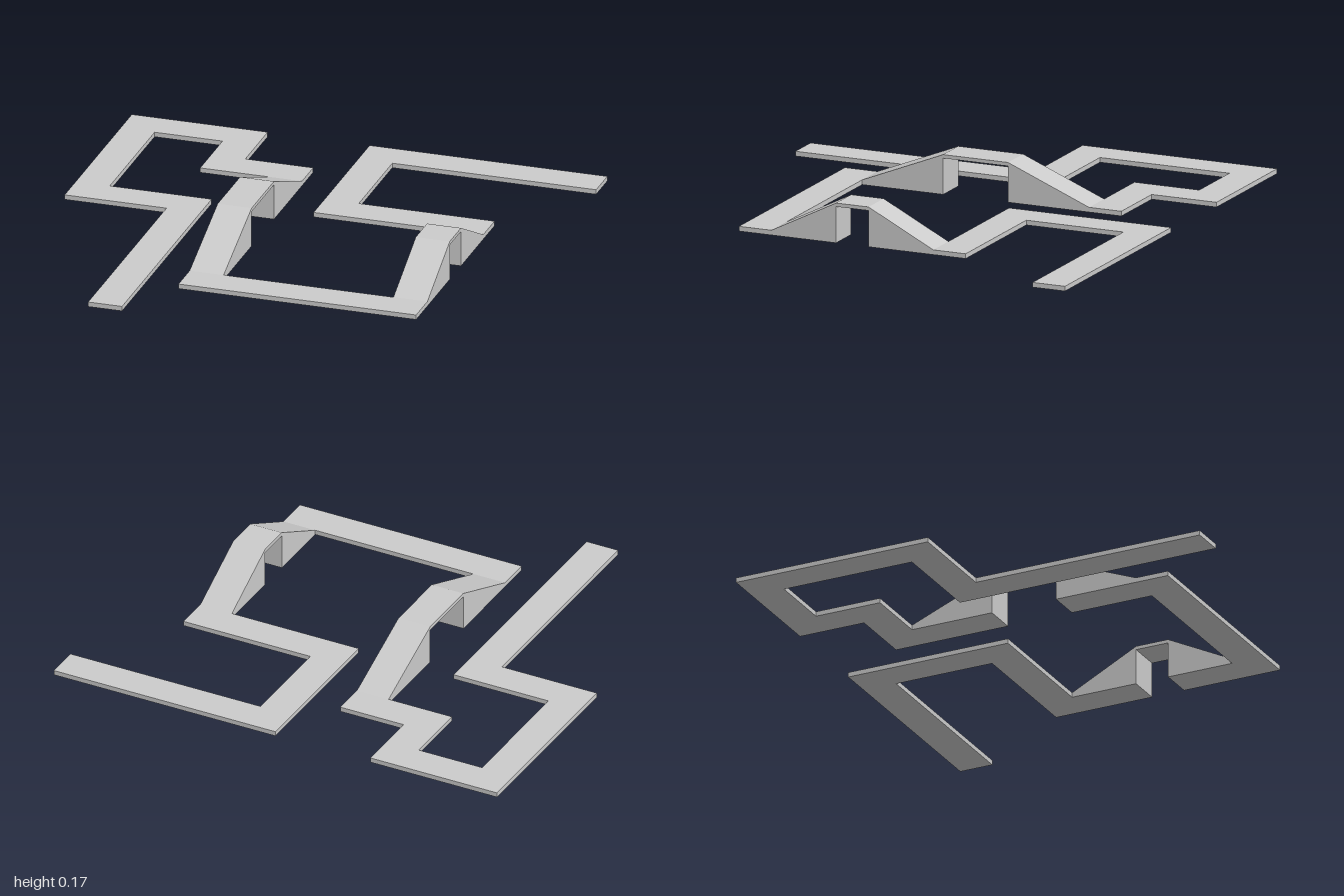
import * as THREE from 'three';

const U = 1 / 7;        // width of the track
const THICK = 0.02;     // track thickness
const TOP = 0.165;      // bridge height
const UNDER = 0.15;     // underside of the bridge deck

const material = new THREE.MeshStandardMaterial({ color: 0xcccccc, flatShading: true });

const shapeOf = (points) => new THREE.Shape(points.map(([x, y]) => new THREE.Vector2(x, y)));

function addMesh(group, name, geometry) {
  const mesh = new THREE.Mesh(geometry, material);
  mesh.name = name;
  group.add(mesh);
}

// Flat track from an outline of [x, z] corners in track widths
function flatTrack(outline) {
  const shape = shapeOf(outline.map(([x, z]) => [x * U, -z * U]));
  return new THREE.ExtrudeGeometry(shape, { depth: THICK, bevelEnabled: false }).rotateX(-Math.PI / 2);
}

// Solid ramp up, thin deck, solid ramp down; z stations in track widths
function bridge(xMax, stations) {
  const [z0, z1, z2, z3] = stations.map((z) => z * U);
  const profile = shapeOf([
    [z0, 0], [z1, 0], [z1, UNDER], [z2, UNDER], [z2, 0], [z3, 0],
    [z3, THICK], [z2, TOP], [z1, TOP], [z0, THICK],
  ]);
  return new THREE.ExtrudeGeometry(profile, { depth: U, bevelEnabled: false })
    .rotateY(-Math.PI / 2)
    .translate(xMax * U, 0, 0);
}

export function createModel() {
  const group = new THREE.Group();
  group.name = 'windingTrack';

  // Track on the right: long straight, loop and step to the first bridge
  addMesh(group, 'rightTrack', flatTrack([
    [-4, 6.5], [-3, 6.5], [-3, -1.5], [-6, -1.5], [-6, -5.5], [-4, -5.5], [-4, -3.5], [-1, -3.5],
    [-1, -4.5], [-3, -4.5], [-3, -6.5], [-7, -6.5], [-7, -0.5], [-4, -0.5],
  ]));

  // Straight joining the two bridges at the front
  addMesh(group, 'frontTrack', flatTrack([[-2, 3.5], [5, 3.5], [5, 4.5], [-2, 4.5]]));

  // Track on the left: from the second bridge to the far end
  addMesh(group, 'leftTrack', flatTrack([
    [7, -6.5], [0, -6.5], [0, -1.5], [5, -1.5], [5, -2.5], [1, -2.5], [1, -5.5], [7, -5.5],
  ]));

  // Bridges
  addMesh(group, 'longBridge', bridge(-1, [-3.5, -1, 1, 3.5]));
  addMesh(group, 'shortBridge', bridge(5, [-1.5, 0.5, 1.5, 3.5]));

  return group;
}
